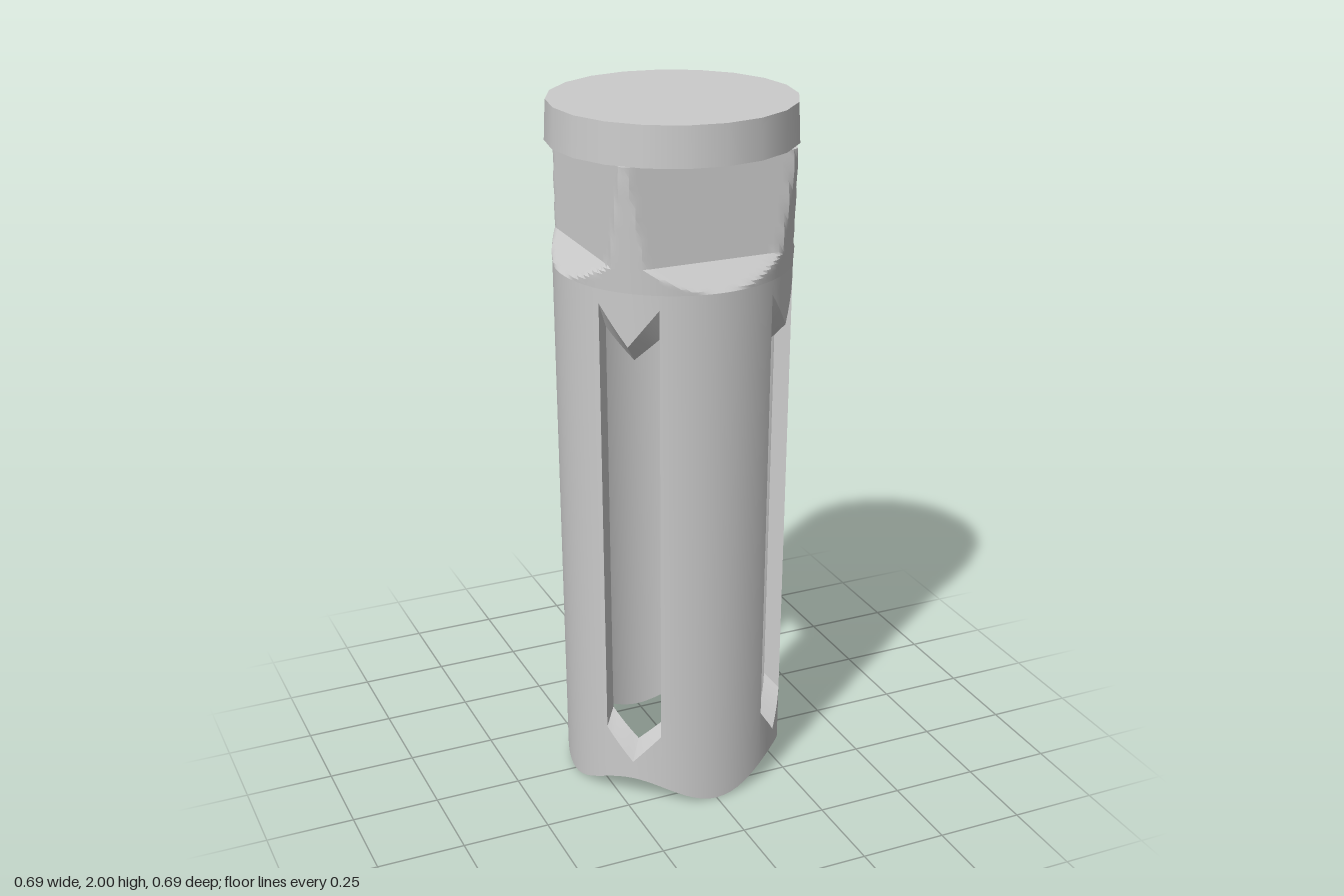
import * as THREE from 'three';
import { mergeGeometries, toCreasedNormals } from 'three/addons/utils/BufferGeometryUtils.js';
import { ParametricGeometry } from 'three/addons/geometries/ParametricGeometry.js';

const Q = Math.PI / 2;
const lerp = THREE.MathUtils.lerp;
const SHOULDER = 1.55, FLAT = 1.62, TOP = 1.89;

// Two wall layers: angular half-width of a slot, radius offset, slot end heights (side and tip)
const OUTER = { phi: 0.265, inset: 0, low: [0.22, 0.125], high: [1.51, 1.4] };
const INNER = { phi: 0.31, inset: 0.045, low: [0.26, 0.18], high: [1.43, 1.35] };

const radius = (y) => lerp(0.317, 0.33, y / SHOULDER);
const hem = (a) => 0.07 * Math.sin(2 * a) ** 2; // scalloped lower edge
const vEdge = ([side, tip], u) => lerp(tip, side, Math.abs(2 * u - 1));

// Angles across a pillar or a slot of quadrant k
const pillarAngle = (L, k, u) => k * Q + (2 * u - 1) * (Q / 2 - L.phi);
const slotAngle = (L, k, u) => (k + 0.5) * Q + (2 * u - 1) * L.phi;

function polar(p, a, r, y) {
  p.set(Math.sin(a) * r, y, Math.cos(a) * r);
}
const onWall = (p, L, a, y) => polar(p, a, radius(y) - L.inset, y);

function patch(fn, nu, nv) {
  const g = new ParametricGeometry(fn, nu, nv);
  g.deleteAttribute('uv');
  g.deleteAttribute('normal');
  return g;
}

function mesh(name, patches, crease, material) {
  const m = new THREE.Mesh(toCreasedNormals(mergeGeometries(patches), crease), material);
  m.name = name;
  return m;
}

// Slotted tube: outer and inner skins, slot reveals and bottom rim
function tubePatches() {
  const out = [];
  for (let k = 0; k < 4; k++) {
    for (const L of [OUTER, INNER]) {
      const dir = (u) => (L === OUTER ? u : 1 - u);
      const skin = (angle, bottom, top, n) =>
        out.push(patch((u, v, p) => {
          const w = dir(u), a = angle(L, k, w);
          onWall(p, L, a, lerp(bottom(a, w), top(a, w), v));
        }, n, 1));
      skin(pillarAngle, hem, () => SHOULDER, 14);
      skin(slotAngle, hem, (a, u) => vEdge(L.low, u), 8);
      skin(slotAngle, (a, u) => vEdge(L.high, u), () => SHOULDER, 8);
    }
    // Bridge from outer layer (v = 0) to inner layer (v = 1)
    const a3 = new THREE.Vector3(), b3 = new THREE.Vector3();
    const bridge = (edge, n, flip) =>
      out.push(patch((u, v, p) => {
        const w = flip ? 1 - u : u;
        edge(OUTER, w, a3);
        edge(INNER, w, b3);
        p.lerpVectors(a3, b3, v);
      }, n, 1));
    bridge((L, u, p) => onWall(p, L, slotAngle(L, k, u), vEdge(L.low, u)), 8, false);
    bridge((L, u, p) => onWall(p, L, slotAngle(L, k, u), vEdge(L.high, u)), 8, true);
    for (const s of [0, 1]) {
      bridge((L, t, p) => onWall(p, L, slotAngle(L, k, s), lerp(L.low[0], L.high[0], t)), 1, s === 0);
    }
    for (const [angle, n] of [[pillarAngle, 14], [slotAngle, 8]]) {
      bridge((L, u, p) => {
        const a = angle(L, k, u);
        onWall(p, L, a, hem(a));
      }, n, true);
    }
  }
  return out;
}

// Neck: flaring round section cut by four flats, leaving corners above the slots
function neckPoint(p, a, y, scale = 1) {
  const round = lerp(0.33, 0.352, (y - SHOULDER) / (TOP - SHOULDER));
  const flat = y < FLAT
    ? lerp(0.33, 0.27, (y - SHOULDER) / (FLAT - SHOULDER))
    : lerp(0.27, 0.255, (y - FLAT) / (TOP - FLAT));
  const r = Math.min(round, flat / Math.max(Math.abs(Math.sin(a)), Math.abs(Math.cos(a))));
  polar(p, a, r * scale, y);
}

function neckPatches() {
  const n = 144, turn = Math.PI * 2;
  return [
    patch((u, v, p) => neckPoint(p, u * turn, lerp(SHOULDER, FLAT, v)), n, 8),
    patch((u, v, p) => neckPoint(p, u * turn, lerp(FLAT, TOP, v)), n, 10),
    patch((u, v, p) => neckPoint(p, u * turn, TOP, 1 - v), n, 1),
  ];
}

export function createModel() {
  const model = new THREE.Group();
  model.name = 'slottedTube';
  const material = new THREE.MeshStandardMaterial({ color: 0xcccccc });

  model.add(mesh('slottedBody', tubePatches(), 0.5, material));
  model.add(mesh('neck', neckPatches(), 0.4, material));

  // Ceiling closing the hollow body
  const ceiling = new THREE.Mesh(new THREE.CircleGeometry(0.288, 48), material);
  ceiling.name = 'innerCeiling';
  ceiling.rotation.x = Math.PI / 2;
  ceiling.position.y = SHOULDER;
  model.add(ceiling);

  // Disc cap
  const cap = new THREE.Mesh(new THREE.CylinderGeometry(0.34, 0.345, 2 - TOP, 20), material);
  cap.name = 'cap';
  cap.position.y = (2 + TOP) / 2;
  model.add(cap);

  return model;
}
